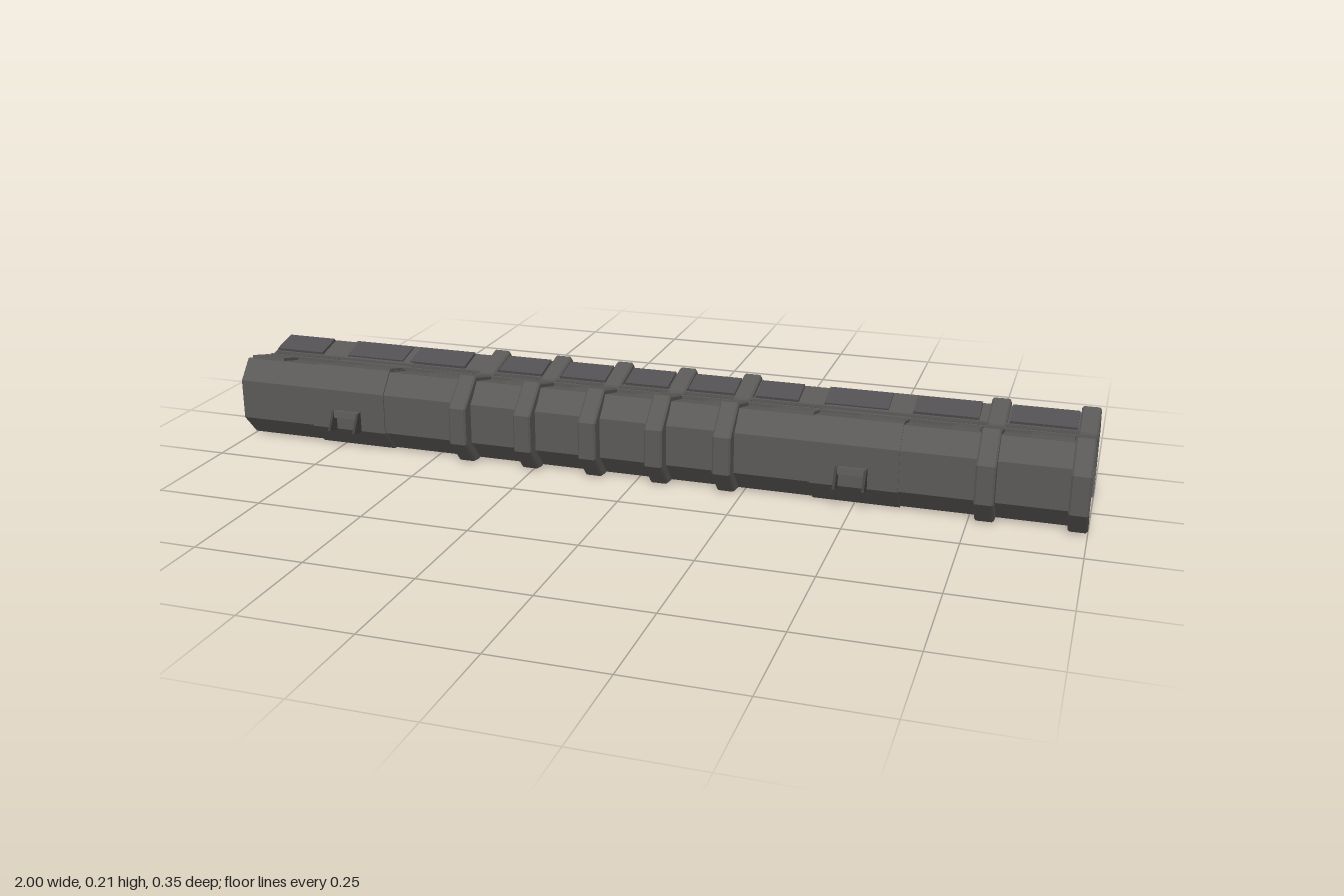
import * as THREE from 'three';

const mat = (name, color) => {
  const m = new THREE.MeshStandardMaterial({ color, flatShading: true });
  m.name = name;
  return m;
};

export function createModel() {
  const group = new THREE.Group();
  const hull = mat('hull grey', 0x5b5957);
  const panel = mat('panel grey', 0x525052);
  const dark = mat('dark grey', 0x424140);

  // Cross-sections are lists of [z, y]; they are extruded along x.
  // Reversing keeps outlines and holes counter-clockwise after z is flipped.
  const toPath = (pts, P) => new P(pts.map(([z, y]) => new THREE.Vector2(-z, y)).reverse());
  function extrude(name, pts, x0, x1, material, hole, bevel = 0) {
    const shape = toPath(pts, THREE.Shape);
    if (hole) shape.holes.push(toPath(hole, THREE.Path));
    const geo = new THREE.ExtrudeGeometry(shape, {
      depth: x1 - x0 - 2 * bevel, bevelEnabled: bevel > 0, bevelSegments: 1,
      bevelThickness: bevel, bevelSize: bevel, bevelOffset: -bevel,
    });
    geo.rotateY(Math.PI / 2);
    geo.translate(x0 + bevel, 0, 0);
    const mesh = new THREE.Mesh(geo, material);
    mesh.name = name;
    group.add(mesh);
  }
  function box(name, x, y, z, w, h, d, material, tilt = 0) {
    const mesh = new THREE.Mesh(new THREE.BoxGeometry(w, h, d), material);
    mesh.name = name;
    mesh.position.set(x, y, z);
    mesh.rotation.x = tilt;
    group.add(mesh);
  }
  // Move every edge of a closed outline outwards by d.
  function offset(pts, d) {
    return pts.map((p, i) => {
      const a = pts[(i + pts.length - 1) % pts.length], b = pts[(i + 1) % pts.length];
      const normal = (s, e) => {
        const l = Math.hypot(e[0] - s[0], e[1] - s[1]);
        return [(e[1] - s[1]) / l, -(e[0] - s[0]) / l];
      };
      const n = normal(a, p), m = normal(p, b);
      const k = d / (1 + n[0] * m[0] + n[1] * m[1]);
      return [p[0] + (n[0] + m[0]) * k, p[1] + (n[1] + m[1]) * k];
    });
  }

  // Hollow hull with a shallow valley along its roof
  const body = [
    [0.092, 0.003], [0.138, 0.054], [0.138, 0.148], [0.1, 0.194], [0.014, 0.172],
    [-0.014, 0.172], [-0.1, 0.194], [-0.145, 0.148], [-0.145, 0.054], [-0.092, 0.003],
  ];
  extrude('hull', body, -1, 0.995, hull, offset(body, -0.003));

  // Slightly raised sleeves around the clip sections
  for (const [a, b] of [[-0.81, -0.62], [0.405, 0.6]]) {
    extrude('sleeve', offset(body, 0.003), a, b, hull, offset(body, -0.001));
  }

  // Chamfered ribs, open underneath
  const rib = [
    [0.09, 0.004], [0.099, 0], [0.126, 0.004], [0.174, 0.06], [0.174, 0.147], [0.106, 0.208],
    [0.01, 0.182], [-0.004, 0.182], [-0.105, 0.208], [-0.16, 0.147], [-0.16, 0.06],
    [-0.112, 0.004], [-0.098, 0], [-0.08, 0.004], [-0.123, 0.058], [-0.123, 0.147], [-0.097, 0.185],
    [-0.004, 0.163], [0.01, 0.163], [0.098, 0.185], [0.137, 0.147], [0.137, 0.058],
  ];
  for (const x of [-0.417, -0.257, -0.1, 0.057, 0.214, 0.785, 0.979]) {
    extrude('rib', rib, x - 0.021, x + 0.021, hull, null, 0.004);
  }

  // Roof: long rails beside a dark central groove
  box('groove', 0, 0.173, 0, 1.98, 0.003, 0.02, dark);
  for (const s of [-1, 1]) box('rail', 0, 0.176, s * 0.014, 1.98, 0.01, 0.007, hull);

  // Roof panels on both slopes
  const slope = Math.atan2(0.022, 0.086);
  const roofY = (z) => 0.172 + (Math.abs(z) - 0.014) * 0.256;
  const backPanels = [
    [-0.995, -0.87], [-0.8, -0.65], [-0.63, -0.485], [-0.395, -0.285], [-0.235, -0.125],
    [-0.075, 0.03], [0.08, 0.19], [0.24, 0.34], [0.4, 0.545], [0.6, 0.745], [0.81, 0.955],
  ];
  for (const [a, b] of backPanels) {
    box('back roof panel', (a + b) / 2, roofY(-0.062) + 0.003, -0.062, b - a, 0.008, 0.068, panel, slope);
  }
  const frontPanels = [
    [-0.995, -0.91], [-0.72, -0.625], [-0.525, -0.44], [-0.33, -0.28], [-0.165, -0.12],
    [-0.01, 0.035], [0.15, 0.19], [0.305, 0.4], [0.5, 0.6], [0.7, 0.76], [0.865, 0.955],
  ];
  for (const [a, b] of frontPanels) {
    box('front roof panel', (a + b) / 2, roofY(0.055) + 0.003, 0.055, b - a, 0.008, 0.068, hull, -slope);
  }

  // Floor: strips underneath and a dark walkway inside
  for (let i = 0; i < 10; i++) {
    box('floor strip', -0.9 + i * 0.2, 0.003, 0, 0.19, 0.003, 0.15, hull);
  }
  box('walkway', 0, 0.006, 0, 1.96, 0.002, 0.054, dark);

  // Clips on both sides: a short lip, two thin cheeks and a catch inside the wall
  for (const x of [-0.717, 0.498]) {
    for (const s of [-1, 1]) {
      const side = (pts) => {
        const out = pts.map(([z, y]) => [s * z, y]);
        return s < 0 ? out.reverse() : out;
      };
      extrude('clip lip', side([[0.136, 0.085], [0.155, 0.085], [0.152, 0.1], [0.136, 0.1]]),
        x - 0.033, x + 0.033, hull);
      for (const e of [-1, 1]) {
        extrude('clip cheek', side([[0.136, 0.048], [0.177, 0.058], [0.152, 0.1], [0.136, 0.1]]),
          x + e * 0.032 - 0.003, x + e * 0.032 + 0.003, dark);
      }
      extrude('inner catch', side([[0.14, 0.085], [0.14, 0.135], [0.131, 0.132], [0.12, 0.112], [0.128, 0.09]]),
        x - 0.025, x + 0.025, panel);
    }
  }
  return group;
}
